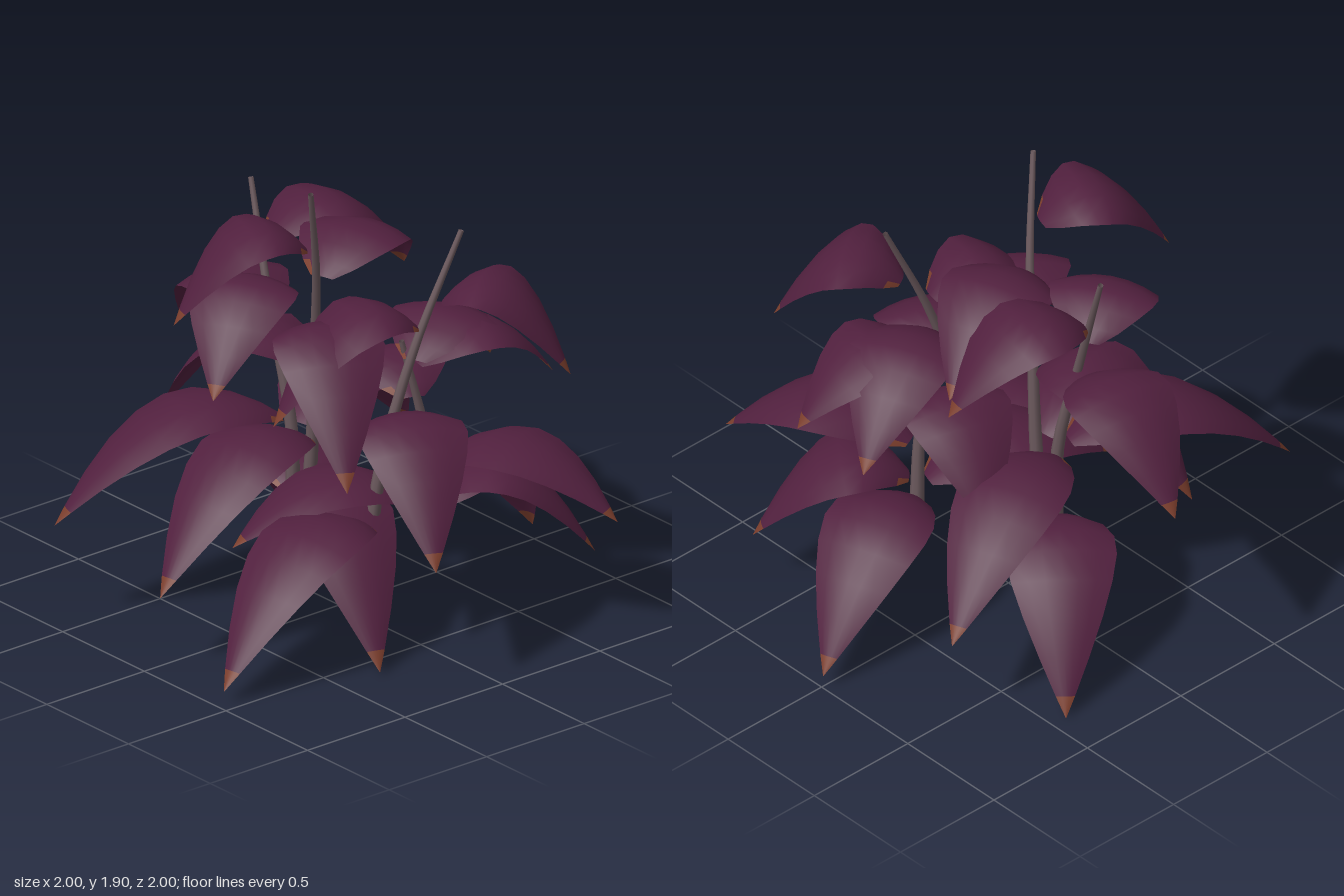
import * as THREE from 'three';

const leafMat = new THREE.MeshStandardMaterial({ color: 0x51203e, side: THREE.DoubleSide });
leafMat.name = 'plum leaf';
const dryMat = new THREE.MeshStandardMaterial({ color: 0x7a3d2c, side: THREE.DoubleSide });
dryMat.name = 'dry brown edge';
const stemMat = new THREE.MeshStandardMaterial({ color: 0x6a585c, side: THREE.DoubleSide });
stemMat.name = 'grey stem';

// Each stem: points from bottom to top, and its leaves as [height on the stem, tip x, y, z]
const STEMS = [
  {
    name: 'leftLeaningStem',
    points: [[-0.2, 0.4, 0.07], [-0.2, 0.75, 0.08], [-0.3, 1.2, 0.1], [-0.47, 1.71, 0.06]],
    leaves: [
      [0.45, -0.8, 0.01, -0.43], [0.74, -0.53, 0.4, -0.79], [0.79, -0.55, 0.45, 1],
      [1.16, -1, 0.9, -0.03], [1.31, -0.02, 1.06, 0.63], [1.48, -0.27, 1.27, -0.57],
    ],
  },
  {
    name: 'tallStem',
    points: [[-0.11, 0.4, 0.07], [-0.08, 0.75, 0.07], [-0.03, 1.15, 0.1], [0.05, 1.5, 0.16], [0.16, 1.91, 0.28]],
    leaves: [
      [0.48, 0.62, 0.02, 0.31], [0.74, 0.05, 0.33, 0.96], [1.07, -0.74, 0.68, 0.3],
      [1.24, 0.61, 0.83, 0.47], [1.47, -0.2, 1.28, -0.5], [1.64, -0.13, 1.38, 0.74],
    ],
  },
  {
    name: 'rightLeaningStem',
    points: [[0.27, 0.4, 0.07], [0.3, 0.75, 0.03], [0.34, 1.2, -0.1], [0.39, 1.67, -0.3]],
    leaves: [
      [0.48, 0.44, 0.06, 0.96], [0.92, 0.94, 0.55, 0.29], [1.3, 0.17, 0.97, 0.48],
      [1.14, 0.04, 0.9, -0.74], [1.4, 0.82, 1.14, -0.5],
    ],
  },
  {
    name: 'shortStem',
    points: [[0.26, 0.4, -0.25], [0.27, 0.75, -0.22], [0.25, 1.2, -0.11]],
    leaves: [
      [0.45, -0.01, 0.07, -1], [0.53, 0.67, 0.26, -0.75], [0.5, -0.02, 0.4, 0.53],
      [0.68, 1, 0.54, -0.59], [0.93, -0.34, 0.65, -0.4], [1.1, 0.4, 0.94, -0.76],
    ],
  },
];

// Leaf outline: [distance along the leaf, half width]
const OUTLINE = [[0, 0.05], [0.07, 0.115], [0.18, 0.175], [0.32, 0.215], [0.46, 0.222],
  [0.6, 0.2], [0.73, 0.158], [0.85, 0.1], [0.95, 0.038], [1, 0.001]];
const COLS = 6;
const LAST = OUTLINE.length - 1;

function pointAtHeight(points, y) {
  let i = 0;
  while (i < points.length - 2 && points[i + 1][1] < y) i++;
  const a = new THREE.Vector3(...points[i]), b = new THREE.Vector3(...points[i + 1]);
  return a.lerp(b, (y - a.y) / (b.y - a.y));
}

// Tapered tube
function makeStem(points) {
  const curve = new THREE.CatmullRomCurve3(points.map((p) => new THREE.Vector3(...p)));
  const segments = 12, sides = 8, thick = 0.03, thin = 0.011;
  const geo = new THREE.TubeGeometry(curve, segments, thick, sides);
  const pos = geo.attributes.position, v = new THREE.Vector3();
  for (let i = 0; i <= segments; i++) {
    const centre = curve.getPointAt(i / segments);
    const scale = THREE.MathUtils.lerp(1, thin / thick, i / segments);
    for (let j = 0; j <= sides; j++) {
      const k = i * (sides + 1) + j;
      v.fromBufferAttribute(pos, k).sub(centre).multiplyScalar(scale).add(centre);
      pos.setXYZ(k, v.x, v.y, v.z);
    }
  }
  return new THREE.Mesh(geo, stemMat);
}

// Arching blade whose margins droop; the tip and one base corner are dry
function makeLeaf(base, tip) {
  const dir = new THREE.Vector3(tip.x - base.x, 0, tip.z - base.z).normalize();
  const start = base.clone().addScaledVector(dir, 0.035);
  const control = start.clone().lerp(tip, 0.48);
  control.y = start.y + 0.35;
  const curve = new THREE.QuadraticBezierCurve3(start, control, tip);
  const across = new THREE.Vector3(-dir.z, 0, dir.x);
  const positions = [], plum = [], dry = [];
  OUTLINE.forEach(([t, w], i) => {
    const p = curve.getPoint(t);
    const normal = across.clone().cross(curve.getTangent(t)).normalize();
    for (let j = 0; j <= COLS; j++) {
      const s = (j / COLS) * 2 - 1;
      const q = p.clone().addScaledVector(across, s * w).addScaledVector(normal, -0.22 * w * s * s);
      positions.push(q.x, q.y, q.z);
      if (i === LAST || j === COLS) continue;
      const a = i * (COLS + 1) + j, b = a + 1, c = a + COLS + 1, d = c + 1;
      const isDry = i === LAST - 1 || (i === 0 && j === 0);
      (isDry ? dry : plum).push(a, b, c, b, d, c);
    }
  });
  const geo = new THREE.BufferGeometry();
  geo.setAttribute('position', new THREE.Float32BufferAttribute(positions, 3));
  geo.setIndex([...plum, ...dry]);
  geo.computeVertexNormals();
  geo.addGroup(0, plum.length, 0);
  geo.addGroup(plum.length, dry.length, 1);
  return new THREE.Mesh(geo, [leafMat, dryMat]);
}

export function createModel() {
  const plant = new THREE.Group();
  plant.name = 'leafyPlant';
  for (const { name, points, leaves } of STEMS) {
    const branch = new THREE.Group();
    branch.name = name + 'Branch';
    const stem = makeStem(points);
    stem.name = name;
    branch.add(stem);
    leaves.forEach(([height, x, y, z], i) => {
      const leaf = makeLeaf(pointAtHeight(points, height), new THREE.Vector3(x, y, z));
      leaf.name = 'leaf' + (i + 1);
      branch.add(leaf);
    });
    plant.add(branch);
  }
  return plant;
}
